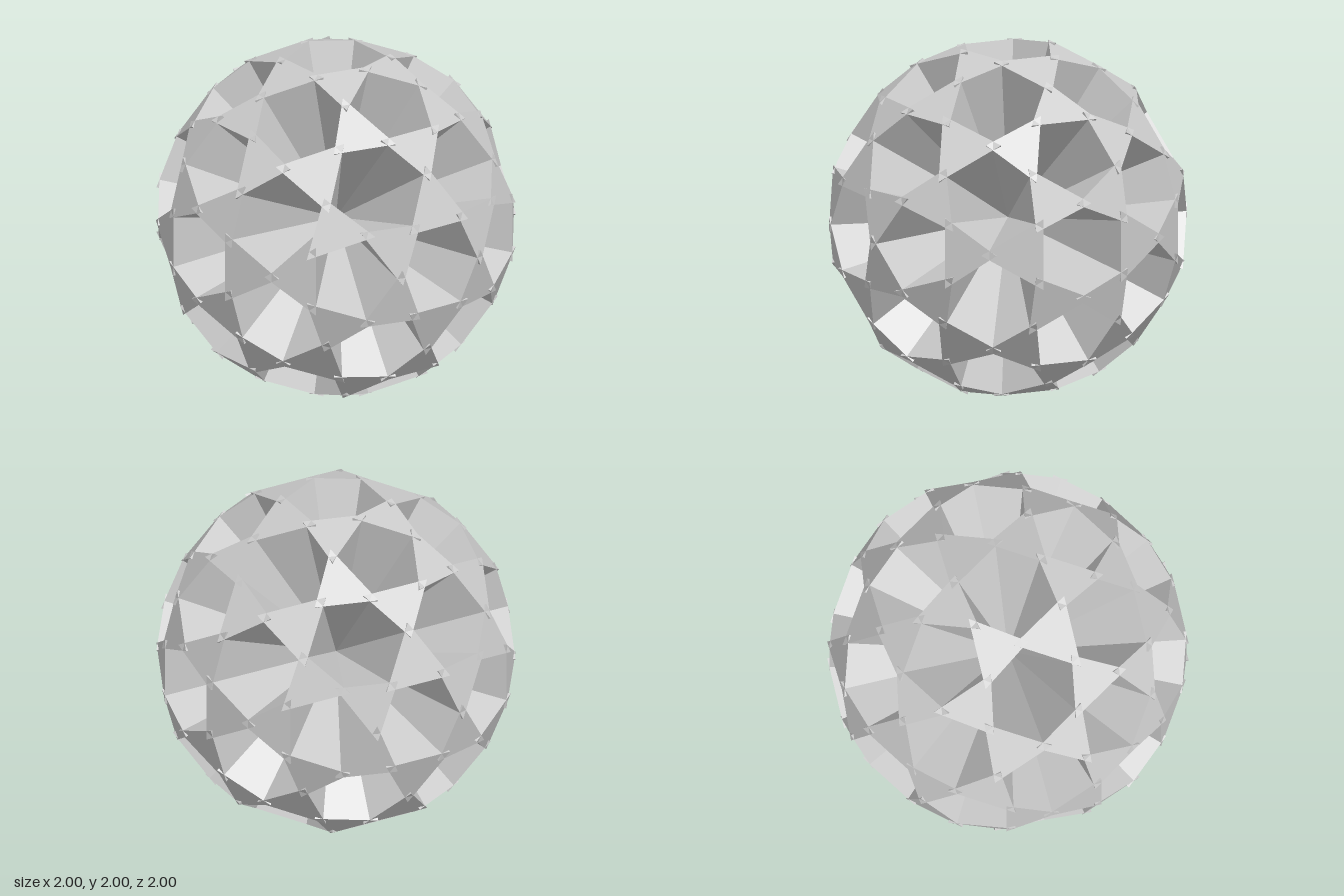
import * as THREE from 'three';

const RADIUS = 1.07;   // radius of the guiding geodesic sphere
const OVERLAP = 1.25;  // each wedge is enlarged so its tips cross its neighbours

// Three-sided wedge from the ball's centre out to triangle p
function wedgeGeometry(p) {
  const o = new THREE.Vector3();
  const [a, b, c] = p;
  const geo = new THREE.BufferGeometry().setFromPoints([
    a, b, c,
    o, b, a,
    o, c, b,
    o, a, c,
  ]);
  geo.computeVertexNormals();
  return geo;
}

export function createModel() {
  const model = new THREE.Group();
  model.name = 'spikedBall';
  const material = new THREE.MeshStandardMaterial({ color: 0xcccccc, flatShading: true });

  // Geodesic sphere whose 80 faces guide the wedges
  const sphere = new THREE.IcosahedronGeometry(RADIUS, 1).rotateY(Math.PI / 2);
  const pos = sphere.attributes.position;

  for (let i = 0; i < pos.count; i += 3) {
    const corners = [0, 1, 2].map(k => new THREE.Vector3().fromBufferAttribute(pos, i + k));
    const centre = new THREE.Vector3();
    corners.forEach(v => centre.addScaledVector(v, 1 / 3));

    // Inverted triangle joining the face's edge midpoints, enlarged about its centre
    const tips = corners.map(v => centre.clone().addScaledVector(centre.clone().sub(v), OVERLAP / 2));

    const wedge = new THREE.Mesh(wedgeGeometry(tips), material);
    wedge.name = `wedge${i / 3 + 1}`;
    model.add(wedge);
  }

  // Stand the ball on the ground
  model.children.forEach(m => { m.position.y = 1; });
  return model;
}
